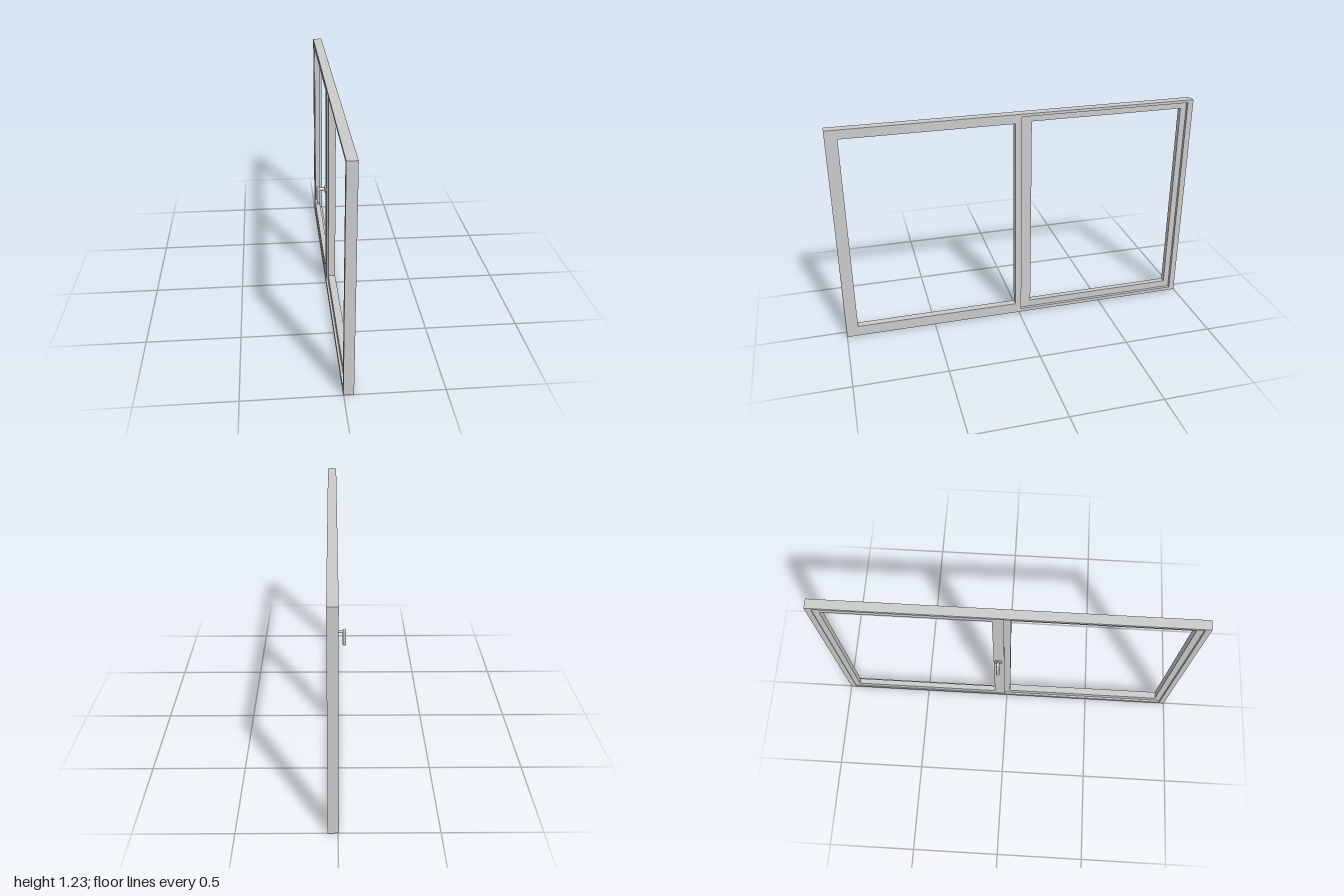
import * as THREE from 'three';
import { RoundedBoxGeometry } from 'three/addons/geometries/RoundedBoxGeometry.js';

const material = new THREE.MeshStandardMaterial({ color: 0xcccccc });

function add(parent, name, geometry, x = 0, y = 0, z = 0) {
  const mesh = new THREE.Mesh(geometry, material);
  mesh.name = name;
  mesh.position.set(x, y, z);
  parent.add(mesh);
  return mesh;
}

// Rectangle outline [z0, z1, y0, y1]; the shape's own x runs along -z
function rect(Type, [z0, z1, y0, y1]) {
  const p = new Type();
  p.moveTo(-z1, y0);
  p.lineTo(-z0, y0);
  p.lineTo(-z0, y1);
  p.lineTo(-z1, y1);
  p.closePath();
  return p;
}

// Panel in the z-y plane with openings, spanning x0..x1
function panel(outer, holes, x0, x1) {
  const shape = rect(THREE.Shape, outer);
  shape.holes = holes.map((h) => rect(THREE.Path, h));
  const g = new THREE.ExtrudeGeometry(shape, { depth: x1 - x0, bevelEnabled: false });
  return g.rotateY(Math.PI / 2).translate(x0, 0, 0);
}

export function createModel() {
  const model = new THREE.Group();
  model.name = 'slidingWindow';

  const outer = [-1, 1, 0, 1.225];
  const fixedOpening = [0.02, 0.935, 0.06, 1.175];
  const sashBay = [-0.968, -0.015, 0.02, 1.21];
  const sashOpening = [-0.935, -0.075, 0.06, 1.175];

  // Main frame with fixed light and mullion, then the raised rim on the inner side
  const frame = new THREE.Group();
  frame.name = 'frame';
  model.add(frame);
  add(frame, 'fixedFrame', panel(outer, [fixedOpening, sashBay], 0.01, 0.05));
  add(frame, 'innerRim', panel(outer, [[-0.968, 0.97, 0.02, 1.21]], -0.002, 0.01));

  // Movable sash, set back from the outer face
  add(model, 'sash', panel(sashBay, [sashOpening], 0.002, 0.033));

  // Handle on the sash's meeting stile
  const handle = new THREE.Group();
  handle.name = 'handle';
  handle.position.set(0, 0.6, -0.05);
  model.add(handle);
  const disc = (r, len) => new THREE.CylinderGeometry(r, r, len, 24).rotateZ(Math.PI / 2);
  add(handle, 'handlePlate', disc(0.022, 0.009), -0.0015);
  add(handle, 'handleNeck', disc(0.009, 0.042), -0.021);
  add(handle, 'handleGrip', new RoundedBoxGeometry(0.018, 0.104, 0.018, 4, 0.007), -0.042, -0.037);

  return model;
}
